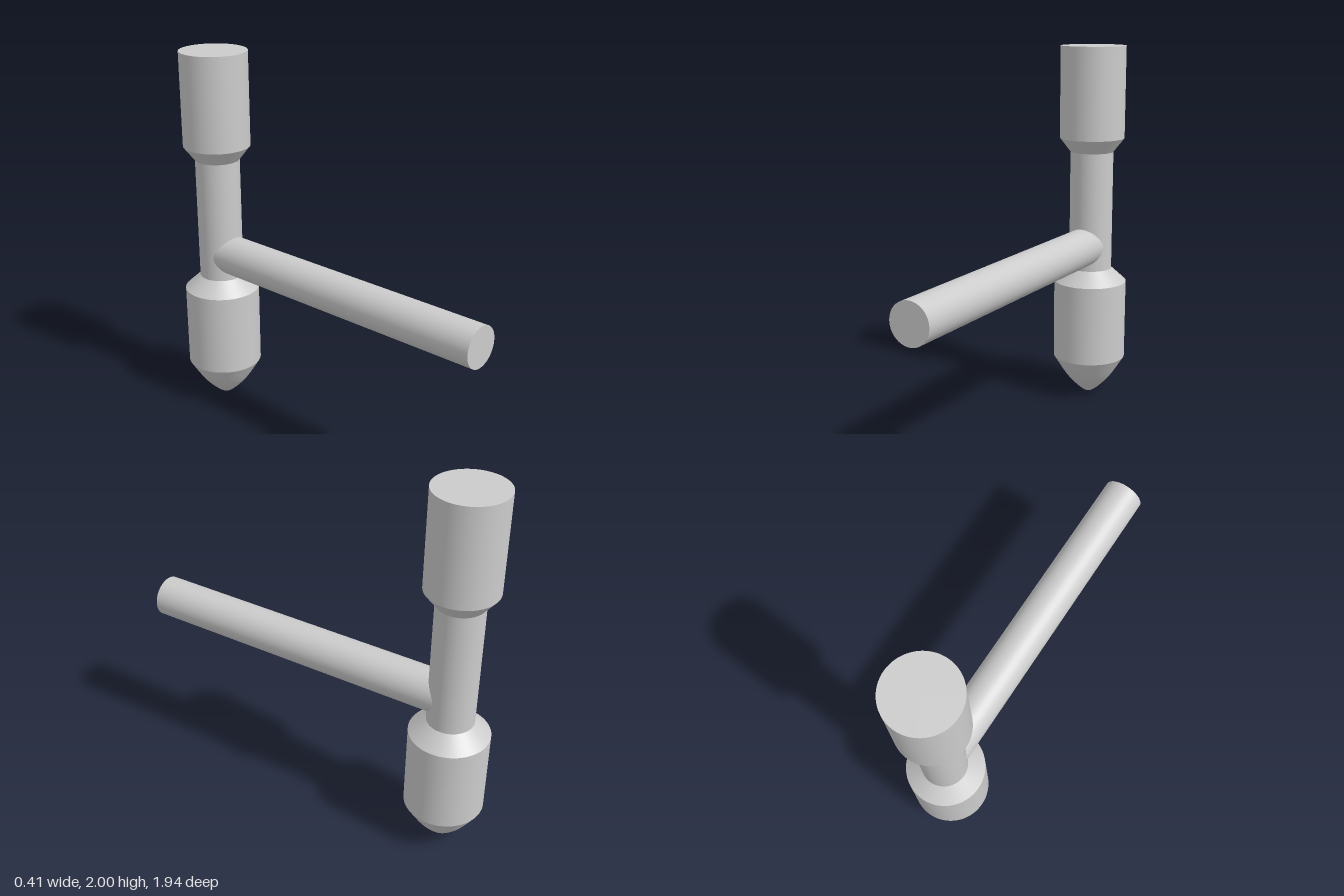
import * as THREE from 'three';

const SIDES = 64;
const AXIS_Z = -0.765;

export function createModel() {
  const group = new THREE.Group();
  const material = new THREE.MeshStandardMaterial({ color: 0xcccccc });

  const add = (name, geometry, y = 0, z = AXIS_Z) => {
    const mesh = new THREE.Mesh(geometry, material);
    mesh.name = name;
    mesh.position.set(0, y, z);
    group.add(mesh);
    return mesh;
  };

  // Turned sections of the upright, from bottom to top, as [radius, y];
  // each is a separate lathe so the edges between them stay sharp
  const sections = {
    bodyWall: [[0.205, 0.225], [0.205, 0.675]],
    bodyShoulder: [[0.205, 0.675], [0.12, 0.752]],
    neck: [[0.12, 0.752], [0.12, 1.418]],
    headFlare: [[0.12, 1.418], [0.18, 1.495]],
    headWall: [[0.18, 1.495], [0.18, 2]],
    headTop: [[0.18, 2], [0, 2]],
  };
  for (const [name, profile] of Object.entries(sections)) {
    const points = profile.map(([r, y]) => new THREE.Vector2(r, y));
    add(name, new THREE.LatheGeometry(points, SIDES));
  }

  // Rounded, tapering point under the body
  const tip = new THREE.SplineCurve(
    [[0, 0], [0.025, 0.006], [0.075, 0.047], [0.137, 0.118], [0.205, 0.225]]
      .map(([r, y]) => new THREE.Vector2(r, y))
  ).getPoints(20);
  tip[0].x = 0;
  add('tip', new THREE.LatheGeometry(tip, SIDES));

  // Round handle running forward from the neck
  const front = 0.97, back = -0.74;
  const handle = add('handle', new THREE.CylinderGeometry(0.107, 0.107, front - back, SIDES),
    0.885, (front + back) / 2);
  handle.rotation.x = Math.PI / 2;

  return group;
}
